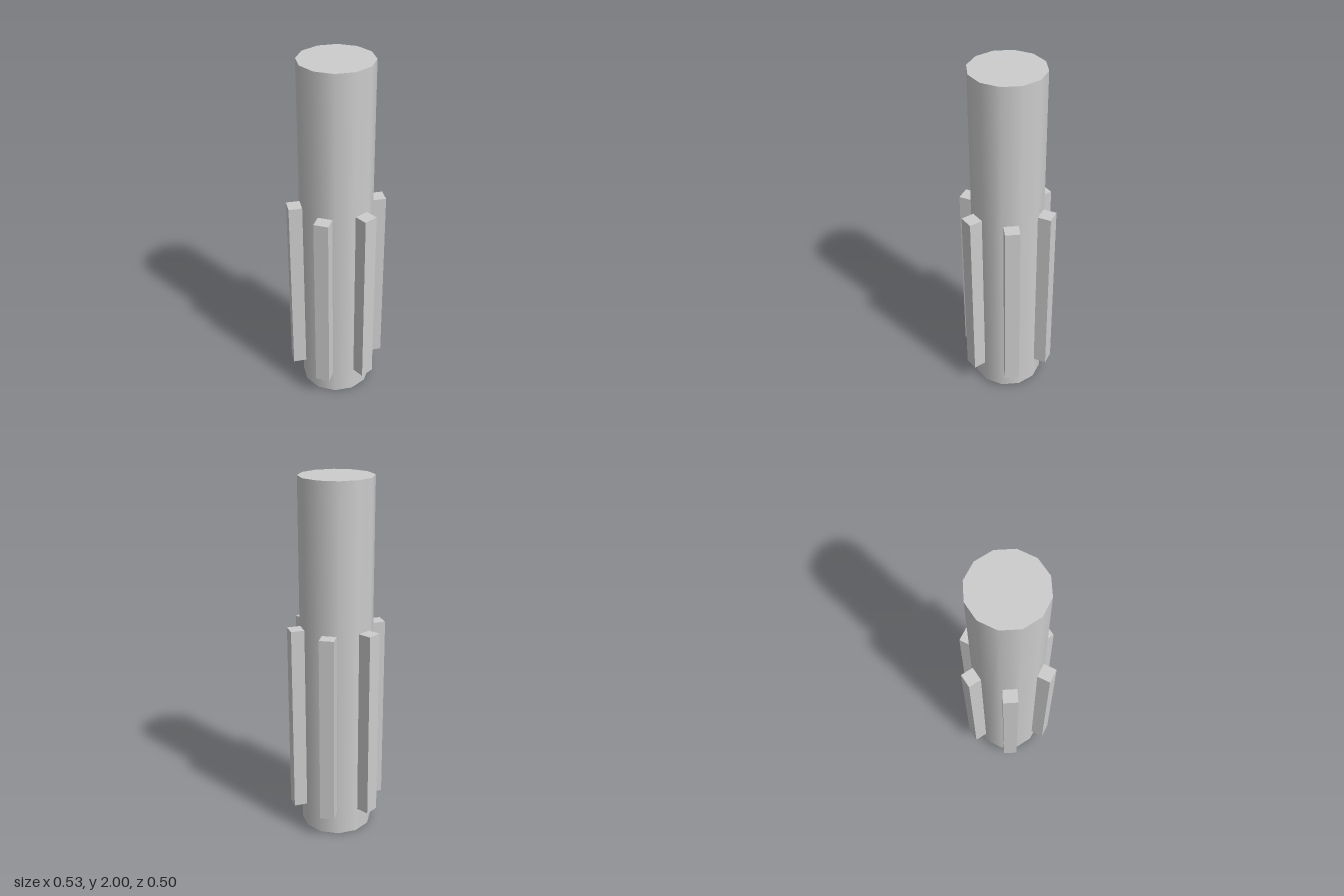
import * as THREE from 'three';

export function createModel() {
  const model = new THREE.Group();
  model.name = 'splinedShaft';

  const grey = new THREE.MeshStandardMaterial({ color: 0xcccccc });
  grey.name = 'light grey';

  // Twelve-sided shaft, turned so that a flat faces each spline
  const shaft = new THREE.Mesh(
    new THREE.CylinderGeometry(0.2, 0.2, 2, 12, 1, false, Math.PI / 12), grey);
  shaft.name = 'shaft';
  shaft.position.y = 1;
  model.add(shaft);

  // Six splines around the lower half, sunk slightly into the shaft
  const inner = 0.18, outer = 0.267, bottom = 0.137, top = 1.2;
  const splineShape = new THREE.BoxGeometry(outer - inner, top - bottom, 0.08);
  splineShape.translate((inner + outer) / 2, (bottom + top) / 2, 0);
  for (let i = 0; i < 6; i++) {
    const spline = new THREE.Mesh(splineShape, grey);
    spline.name = `spline${i + 1}`;
    spline.rotation.y = (i * Math.PI) / 3;
    model.add(spline);
  }

  return model;
}
